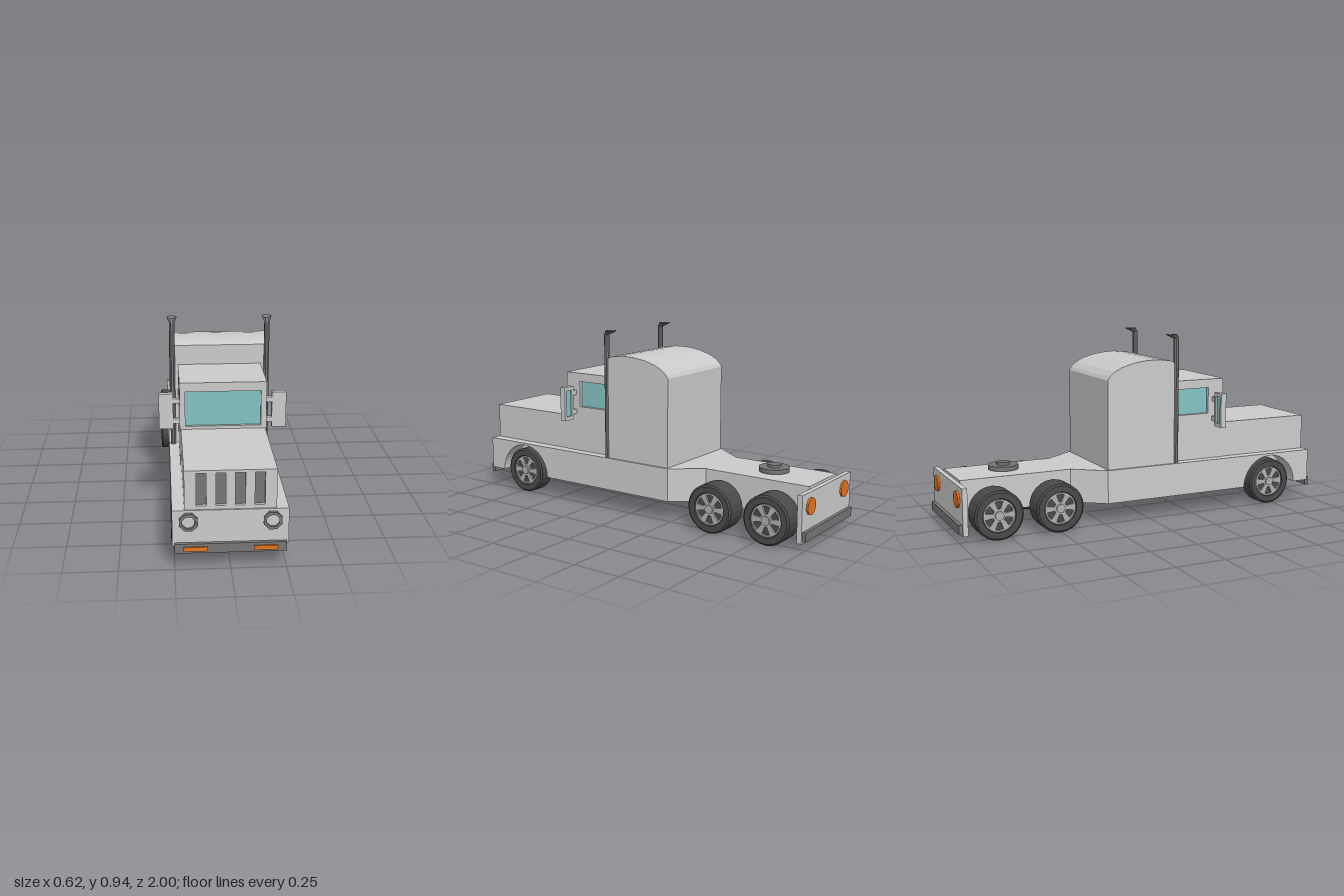
import * as THREE from 'three';

const mat = (color, side = THREE.FrontSide) =>
  new THREE.MeshStandardMaterial({ color, flatShading: true, side });
const GREY = mat(0xcccccc), DARK = mat(0x777777, THREE.DoubleSide), TYRE = mat(0x4a4a4a);
const GLASS = mat(0x85c4c4), ORANGE = mat(0xe8741f);

export function createModel() {
  const truck = new THREE.Group();
  truck.name = 'truck';

  const add = (name, geo, m = GREY, parent = truck) => {
    const mesh = new THREE.Mesh(geo, m);
    mesh.name = name;
    parent.add(mesh);
    return mesh;
  };
  // Box given by its limits on each axis
  const box = (name, [x0, x1], [y0, y1], [z0, z1], m = GREY) =>
    add(name, new THREE.BoxGeometry(Math.abs(x1 - x0), y1 - y0, z1 - z0)
      .translate((x0 + x1) / 2, (y0 + y1) / 2, (z0 + z1) / 2), m);
  const poly = (pts) => new THREE.Shape(pts.map(([a, b]) => new THREE.Vector2(a, b)));
  const extrude = (shape, depth, curveSegments = 12) =>
    new THREE.ExtrudeGeometry(shape, { depth, bevelEnabled: false, curveSegments });
  // Side profile (z, y) extruded across x0..x1
  const sideExtrude = (shape, x0, x1) =>
    extrude(shape, x1 - x0).rotateY(-Math.PI / 2).translate(x1, 0, 0);
  const rect = (cx, cy, w, h) => [
    [cx - w / 2, cy - h / 2], [cx + w / 2, cy - h / 2], [cx + w / 2, cy + h / 2], [cx - w / 2, cy + h / 2]];
  // Flat panel with rectangular openings, extruded toward +z
  const panel = (outline, holes, depth) => {
    const s = poly(rect(...outline));
    holes.forEach((h) => s.holes.push(poly(rect(...h).reverse())));
    return extrude(s, depth);
  };

  // Lower body with wheel arches cut into both sides
  box('bodyCore', [-0.165, 0.165], [0.105, 0.275], [-0.235, 0.975]);
  const arch = new THREE.Shape();
  arch.moveTo(-0.235, 0.105);
  arch.lineTo(0.56, 0.105);
  arch.absarc(0.725, 0.105, 0.16, Math.PI, 0, true);
  arch.lineTo(0.975, 0.105);
  arch.lineTo(0.975, 0.275);
  arch.lineTo(-0.235, 0.275);
  for (const s of [-1, 1]) {
    add('bodySide', sideExtrude(arch, s > 0 ? 0.165 : -0.26, s > 0 ? 0.26 : -0.165));
  }

  // Tapering rear frame: a deck over two rails, open below
  const plan = (inset) => [
    [0.26 - inset, 0.235], [0.145 - inset, 0.39], [0.145 - inset, 0.96],
    [inset - 0.145, 0.96], [inset - 0.145, 0.39], [inset - 0.26, 0.235]];
  const rails = poly(plan(0));
  rails.holes.push(poly(plan(0.012).map(([x, y], i) =>
    [x, i === 2 || i === 3 ? y - 0.01 : i === 0 || i === 5 ? y + 0.005 : y]).reverse()));
  add('rearRails', extrude(rails, 0.16).rotateX(-Math.PI / 2).translate(0, 0.105, 0));
  add('rearDeck', extrude(poly(plan(0)), 0.01).rotateX(-Math.PI / 2).translate(0, 0.265, 0));

  // Coupling plate
  add('couplingPlate', new THREE.CylinderGeometry(0.076, 0.076, 0.022, 20).translate(0, 0.291, -0.695), DARK);
  add('couplingBase', new THREE.CylinderGeometry(0.04, 0.04, 0.01, 16).translate(0, 0.277, -0.695), DARK);
  add('couplingPin', new THREE.CylinderGeometry(0.034, 0.034, 0.015, 16).translate(0, 0.308, -0.695), DARK);

  // Hood with slotted grille
  const slots = [-0.13, -0.043, 0.043, 0.13].map((x) => [x, 0.37, 0.045, 0.154]);
  box('hood', [-0.205, 0.205], [0.275, 0.46], [0.45, 0.95]);
  add('grille', panel([0, 0.3675, 0.41, 0.185], slots, 0.018).translate(0, 0, 0.95));
  slots.forEach(([x]) => box('grilleSlot', [x - 0.0225, x + 0.0225], [0.293, 0.447], [0.945, 0.952], DARK));

  // Cab: core, window frames and recessed glass
  box('cabCore', [-0.19, 0.19], [0.275, 0.695], [0.13, 0.435]);
  add('windscreenFrame', panel([0, 0.485, 0.42, 0.42], [[0, 0.5625, 0.366, 0.175]], 0.018).translate(0, 0, 0.435));
  box('windscreen', [-0.183, 0.183], [0.475, 0.65], [0.43, 0.438], GLASS);
  for (const s of [-1, 1]) {
    const frame = panel([0, 0.485, 0.305, 0.42], [[s * (0.2825 - 0.2675), 0.5825, 0.195, 0.135]], 0.02);
    add('cabSide', frame.rotateY(s * Math.PI / 2).translate(s * 0.19, 0, 0.2825));
    box('sideWindow', [s * 0.185, s * 0.193], [0.515, 0.65], [0.17, 0.365], GLASS);
  }

  // Sleeper with rounded roof
  const sleeper = poly([[0.142, 0.275], [0.142, 0.795], [0.125, 0.806], [0.07, 0.814], [0.03, 0.816], [-0.03, 0.813],
    [-0.09, 0.804], [-0.15, 0.787], [-0.195, 0.765], [-0.22, 0.742], [-0.23, 0.725], [-0.23, 0.275]].reverse());
  add('sleeper', sideExtrude(sleeper, -0.25, 0.25));

  // Exhaust stacks with flared tips swept backward
  for (const s of [-1, 1]) {
    const x = s * 0.238;
    add('exhaustStack', new THREE.CylinderGeometry(0.0138, 0.0138, 0.642, 8).rotateY(Math.PI / 8)
      .translate(x, 0.596, 0.157), DARK);
    const tip = new THREE.CylinderGeometry(0.0138, 0.0138, 0.022, 8, 1, true).rotateY(Math.PI / 8);
    const p = tip.attributes.position;
    for (let i = 0; i < p.count; i++) {
      if (p.getY(i) > 0) p.setXYZ(i, p.getX(i) * 1.9, p.getY(i), p.getZ(i) * 2.2 - 0.029);
    }
    tip.computeVertexNormals();
    add('exhaustTip', tip.translate(x, 0.928, 0.157), DARK);
  }

  // Mirrors on two arms, glass facing the rear
  for (const s of [-1, 1]) {
    box('mirrorBack', [s * 0.24, s * 0.31], [0.45, 0.628], [0.396, 0.414]);
    add('mirrorFrame', panel([s * 0.275, 0.539, 0.07, 0.178], [[s * 0.275, 0.539, 0.042, 0.14]], 0.012)
      .translate(0, 0, 0.384));
    box('mirrorGlass', [s * 0.254, s * 0.296], [0.469, 0.609], [0.393, 0.398], GLASS);
    for (const y of [0.487, 0.59]) box('mirrorArm', [s * 0.205, s * 0.245], [y - 0.012, y + 0.012], [0.388, 0.41]);
  }

  // Bumpers, headlights, indicators and tail plate
  box('frontBumper', [-0.25, 0.25], [0.075, 0.12], [0.97, 0.992], DARK);
  box('tailPlate', [-0.26, 0.26], [0.03, 0.262], [-0.983, -0.958]);
  box('rearBumper', [-0.25, 0.25], [0.04, 0.085], [-1, -0.98], DARK);
  for (const s of [-1, 1]) {
    box('indicator', [s * 0.103, s * 0.21], [0.087, 0.107], [0.985, 1], ORANGE);
    const ring = new THREE.LatheGeometry([[0.03, 0], [0.03, 0.016], [0.044, 0.016], [0.044, 0]]
      .map(([r, h]) => new THREE.Vector2(r, h)), 8).rotateY(Math.PI / 8).rotateX(Math.PI / 2);
    add('headlightRing', ring.translate(s * 0.187, 0.222, 0.975), DARK);
    add('headlight', new THREE.CylinderGeometry(0.031, 0.031, 0.008, 8).rotateY(Math.PI / 8)
      .rotateX(Math.PI / 2).translate(s * 0.187, 0.222, 0.976));
    add('tailLight', new THREE.CylinderGeometry(0.042, 0.042, 0.012, 10).rotateX(Math.PI / 2)
      .translate(s * 0.18, 0.195, -0.987), ORANGE);
  }

  // Wheels: tyre, recessed spoked rim and hub, outer face toward +x
  const wheel = (width) => {
    const g = new THREE.Group();
    g.name = 'wheel';
    const w = width / 2;
    const profile = [[0.001, -w], [0.113, -w], [0.122, -w + 0.008], [0.122, w - 0.008], [0.113, w], [0.083, w],
      [0.078, w - 0.015], [0.001, w - 0.015]].map(([r, h]) => new THREE.Vector2(r, h));
    add('tyre', new THREE.LatheGeometry(profile, 24).rotateZ(-Math.PI / 2), TYRE, g);
    const rim = new THREE.Shape().absarc(0, 0, 0.079, 0, Math.PI * 2);
    for (let i = 0; i < 6; i++) {
      const a = (i + 0.5) * Math.PI / 3;
      const at = (r, d) => [r * Math.cos(a + d), r * Math.sin(a + d)];
      rim.holes.push(poly([at(0.032, -0.2), at(0.032, 0.2), at(0.07, 0.3), at(0.072, 0), at(0.07, -0.3)]));
    }
    add('rim', extrude(rim, 0.01).rotateY(Math.PI / 2).translate(w - 0.016, 0, 0), mat(0xb0b0b0), g);
    add('hub', new THREE.CylinderGeometry(0.022, 0.022, 0.012, 12).rotateZ(Math.PI / 2)
      .translate(w - 0.004, 0, 0), mat(0xb0b0b0), g);
    return g;
  };
  for (const [z, inner, outer] of [[0.725, 0.175, 0.262], [-0.505, 0.178, 0.3], [-0.815, 0.178, 0.3]]) {
    for (const s of [-1, 1]) {
      const g = wheel(outer - inner);
      g.position.set(s * (inner + outer) / 2, 0.122, z);
      if (s < 0) g.rotation.y = Math.PI;
      truck.add(g);
    }
    box('axle', [-inner - 0.005, inner + 0.005], [0.098, 0.146], [z - 0.024, z + 0.024]);
  }
  return truck;
}
